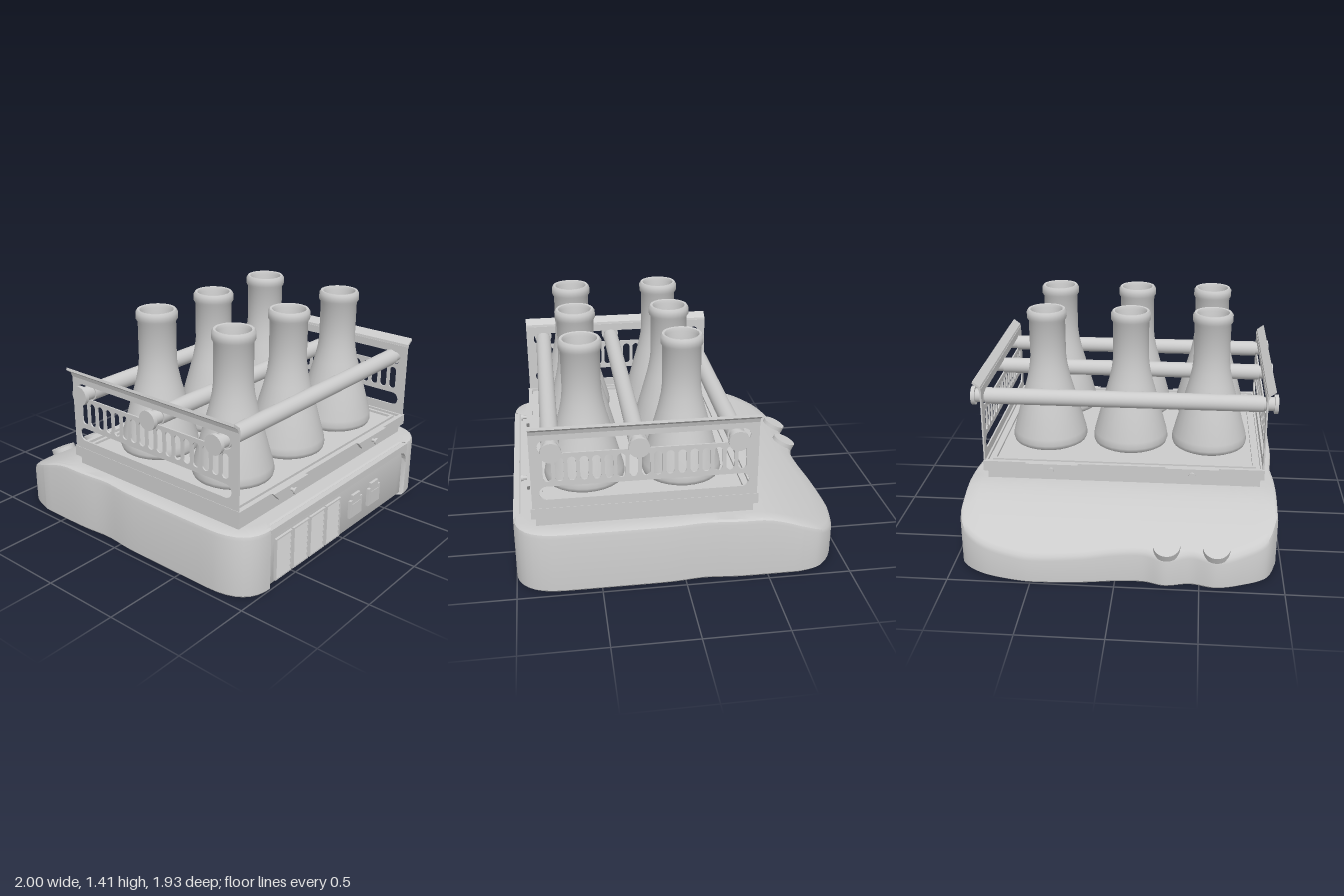
import * as THREE from 'three';
import { toCreasedNormals } from 'three/addons/utils/BufferGeometryUtils.js';

const grey = new THREE.MeshStandardMaterial({ color: 0xcccccc });
const thin = new THREE.MeshStandardMaterial({ color: 0xcccccc, side: THREE.DoubleSide });
const MID = 0.225; // x centre of the platform

function add(parent, name, geometry, x = 0, y = 0, z = 0, material = grey) {
  const mesh = new THREE.Mesh(geometry, material);
  mesh.name = name;
  mesh.position.set(x, y, z);
  parent.add(mesh);
  return mesh;
}
const box = (w, h, d) => new THREE.BoxGeometry(w, h, d);
const extrude = (shape, depth) =>
  new THREE.ExtrudeGeometry(shape, { depth, bevelEnabled: false, curveSegments: 6 });

// Rounded slot path used for plate cut-outs
function slot(x0, y0, x1, y1) {
  const r = Math.min(x1 - x0, y1 - y0) / 2;
  const p = new THREE.Path();
  p.absarc(x1 - r, y1 - r, r, 0, Math.PI / 2);
  p.absarc(x0 + r, y1 - r, r, Math.PI / 2, Math.PI);
  p.absarc(x0 + r, y0 + r, r, Math.PI, Math.PI * 1.5);
  p.absarc(x1 - r, y0 + r, r, Math.PI * 1.5, Math.PI * 2);
  p.closePath();
  return p;
}

// Housing top: flat under the platform, sloping down to the control end
function topHeight(x) {
  const t = THREE.MathUtils.clamp((-0.45 - x) / 0.55, 0, 1);
  return 0.395 - 0.215 * Math.pow(t, 1.5);
}

// Plan outline of the housing, with a side notch and a wavy control end
function housingOutline() {
  const s = new THREE.Shape();
  s.moveTo(0.72, 0.965);
  s.bezierCurveTo(0.92, 0.965, 1, 0.88, 1, 0.745);
  s.lineTo(0.97, 0.74);
  s.lineTo(0.97, -0.74);
  s.lineTo(1, -0.745);
  s.bezierCurveTo(1, -0.88, 0.92, -0.97, 0.72, -0.97);
  s.lineTo(-0.7, -0.97);
  const wave = [[-0.83, -0.93], [-0.93, -0.8], [-0.985, -0.6], [-0.997, -0.45], [-0.98, -0.2],
    [-0.95, 0], [-0.942, 0.17], [-0.975, 0.3], [-0.945, 0.45], [-0.975, 0.6], [-0.935, 0.75],
    [-0.85, 0.9], [-0.68, 0.965]];
  s.splineThru(wave.map(([x, z]) => new THREE.Vector2(x, z)));
  s.closePath();
  const corners = s.getPoints(8);
  const points = [];
  corners.forEach((a, i) => {
    const b = corners[(i + 1) % corners.length];
    const length = a.distanceTo(b);
    if (length < 1e-5) return;
    const n = Math.ceil(length / 0.06);
    for (let k = 0; k < n; k++) points.push(a.clone().lerp(b, k / n));
  });
  return points;
}

// Housing skin: rings of the outline from the bottom centre to the top centre
function housingGeometry() {
  const outline = housingOutline();
  const rings = [[0, 0], [0.99, 0], [1, 0.012], [1, -0.03], [0.994, -0.009], [0.98, 1e-9]];
  for (let k = 1; k <= 14; k++) rings.push([0.98 * (1 - k / 14), 1e-9]);
  const n = outline.length;
  const positions = [], index = [];
  rings.forEach(([scale, offset], k) => {
    for (const p of outline) {
      const x = 0.2 + (p.x - 0.2) * scale;
      const dent = 1 - 0.02 * Math.exp(-Math.pow((p.x + 0.12) / 0.14, 2));
      const y = k < 3 ? offset : topHeight(x) + offset;
      positions.push(x, y, p.y * scale * dent);
    }
  });
  for (let k = 0; k < rings.length - 1; k++) {
    for (let i = 0; i < n; i++) {
      const a = k * n + i, b = k * n + (i + 1) % n, c = b + n, d = a + n;
      if (rings[k][0] > 0) index.push(a, b, c);
      if (rings[k + 1][0] > 1e-6 || k === 0) index.push(a, c, d);
    }
  }
  const g = new THREE.BufferGeometry();
  g.setAttribute('position', new THREE.Float32BufferAttribute(positions, 3));
  g.setIndex(index);
  return toCreasedNormals(g, 0.6);
}

function buildSidePanel(root) {
  const panel = new THREE.Group();
  panel.name = 'sidePanel';
  root.add(panel);
  // Arched lip over the recess
  const arch = new THREE.Shape();
  arch.moveTo(-0.745, 0.24);
  arch.quadraticCurveTo(-0.74, 0.34, -0.64, 0.34);
  arch.lineTo(0.64, 0.34);
  arch.quadraticCurveTo(0.74, 0.34, 0.745, 0.24);
  arch.lineTo(0.745, 0.385);
  arch.lineTo(-0.745, 0.385);
  add(panel, 'recessLip', extrude(arch, 0.04), 0.96).rotation.y = Math.PI / 2;
  // Louvred vents
  for (let i = 0; i < 4; i++) {
    const z = 0.597 - i * 0.167;
    for (const s of [-1, 1]) {
      add(panel, 'ventSide', box(0.018, 0.27, 0.01), 0.976, 0.155, z + s * 0.073);
      add(panel, 'ventEnd', box(0.018, 0.01, 0.155), 0.976, 0.155 + s * 0.13, z);
    }
    for (let k = 0; k < 7; k++)
      add(panel, 'ventSlat', box(0.008, 0.04, 0.14), 0.974, 0.045 + k * 0.037, z).rotation.z = 0.35;
  }
  // Power sockets
  for (const z of [-0.157, -0.372]) {
    add(panel, 'socketBody', box(0.02, 0.12, 0.135), 0.978, 0.15, z);
    add(panel, 'socketTab', box(0.02, 0.035, 0.085), 0.978, 0.227, z);
    add(panel, 'socketFace', box(0.012, 0.08, 0.095), 0.985, 0.145, z);
  }
}

function buildPlatform(root) {
  const platform = new THREE.Group();
  platform.name = 'platform';
  root.add(platform);
  add(platform, 'plinth', box(1.28, 0.08, 1.72), MID, 0.42, 0.005);
  add(platform, 'tray', box(1.33, 0.05, 1.765), MID, 0.478, 0.005);
  // Raised rims around the tray
  for (const [w, d, y, t] of [[1.33, 1.765, 0.509, 0.025], [1.23, 1.66, 0.507, 0.02]]) {
    for (const s of [-1, 1]) {
      add(platform, 'trayRim', box(t, 0.022, d), MID + s * (w - t) / 2, y, 0.005);
      add(platform, 'trayRim', box(w, 0.022, t), MID, y, 0.005 + s * (d - t) / 2);
    }
  }
  // Side clips with pins
  const clip = new THREE.Shape();
  clip.moveTo(-0.165, 0.52);
  clip.lineTo(-0.115, 0.468);
  clip.lineTo(0.115, 0.468);
  clip.lineTo(0.165, 0.52);
  for (const side of [-1, 1]) for (const z of [-0.44, 0.44]) {
    const x = MID + side * 0.672;
    add(platform, 'clip', extrude(clip, 0.025), x - 0.0125, 0, z).rotation.y = Math.PI / 2;
    add(platform, 'clipPin', new THREE.CylinderGeometry(0.011, 0.011, 0.04, 12),
      x + side * 0.025, 0.49, z).rotation.z = Math.PI / 2;
    add(platform, 'clipPinHead', new THREE.CylinderGeometry(0.021, 0.021, 0.012, 12),
      x + side * 0.043, 0.49, z).rotation.z = Math.PI / 2;
  }
}

function buildEndPlates(root) {
  const shape = new THREE.Shape();
  shape.moveTo(-0.655, 0.515);
  shape.lineTo(0.655, 0.515);
  shape.lineTo(0.655, 1);
  shape.lineTo(-0.655, 1);
  shape.holes.push(slot(-0.61, 0.865, 0.605, 0.95), slot(-0.61, 0.575, 0.605, 0.66));
  for (let i = -8; i <= 8; i++)
    shape.holes.push(slot(i * 0.07 - 0.024, 0.69, i * 0.07 + 0.024, 0.84));
  // Flared lip section (outward, up)
  const lip = new THREE.Shape();
  [[0, 0.985], [0.012, 0.985], [0.02, 1.01], [0.055, 1.035], [0.05, 1.05], [0.005, 1.015]]
    .forEach(([u, v], i) => (i ? lip.lineTo(u, v) : lip.moveTo(u, v)));
  for (const side of [1, -1]) {
    const plate = new THREE.Group();
    plate.name = side > 0 ? 'frontPlate' : 'backPlate';
    plate.position.set(MID, 0, 0.005 + side * 0.87);
    if (side < 0) plate.rotation.y = Math.PI;
    root.add(plate);
    add(plate, 'slottedPlate', extrude(shape, 0.01));
    add(plate, 'plateLip', extrude(lip, 1.31), 0.655, 0, 0, thin).rotation.y = -Math.PI / 2;
  }
}

function buildBars(root) {
  const turn = (r, length) => new THREE.CylinderGeometry(r, r, length, 28).rotateX(Math.PI / 2);
  for (const x of [-0.295, 0.27, 0.76]) {
    const bar = new THREE.Group();
    bar.name = 'clampBar';
    bar.position.set(x, 0.907, 0);
    root.add(bar);
    add(bar, 'rod', turn(0.052, 1.73));
    for (const s of [-1, 1]) {
      add(bar, 'knobStem', turn(0.043, 0.08), 0, 0, s * 0.9);
      add(bar, 'knobCap', turn(0.06, 0.024), 0, 0, s * 0.943);
    }
  }
}

function buildFlasks(root) {
  const profile = [[0, 0.518], [0.215, 0.518], [0.236, 0.53], [0.244, 0.555], [0.238, 0.595],
    [0.185, 0.79], [0.14, 0.95], [0.123, 1.03], [0.115, 1.1], [0.115, 1.335], [0.126, 1.352],
    [0.126, 1.392], [0.116, 1.407], [0.102, 1.405], [0.095, 1.385], [0.095, 1.08], [0.125, 0.95],
    [0.22, 0.59], [0.21, 0.545], [0, 0.54]].map(([r, y]) => new THREE.Vector2(r, y));
  const geometry = toCreasedNormals(new THREE.LatheGeometry(profile, 28), 0.9);
  for (const x of [-0.035, 0.558]) for (const z of [-0.508, 0.027, 0.542])
    add(root, 'flask', geometry, x, 0, z);
}

export function createModel() {
  const root = new THREE.Group();
  root.name = 'benchShaker';
  add(root, 'housing', housingGeometry());
  buildSidePanel(root);
  buildPlatform(root);
  buildEndPlates(root);
  buildBars(root);
  buildFlasks(root);
  // Tilted control dials on the sloping end
  for (const z of [0.305, 0.597])
    add(root, 'controlDial', new THREE.CylinderGeometry(0.08, 0.08, 0.05, 32), -0.917, 0.232, z)
      .rotation.z = 0.43;
  return root;
}
